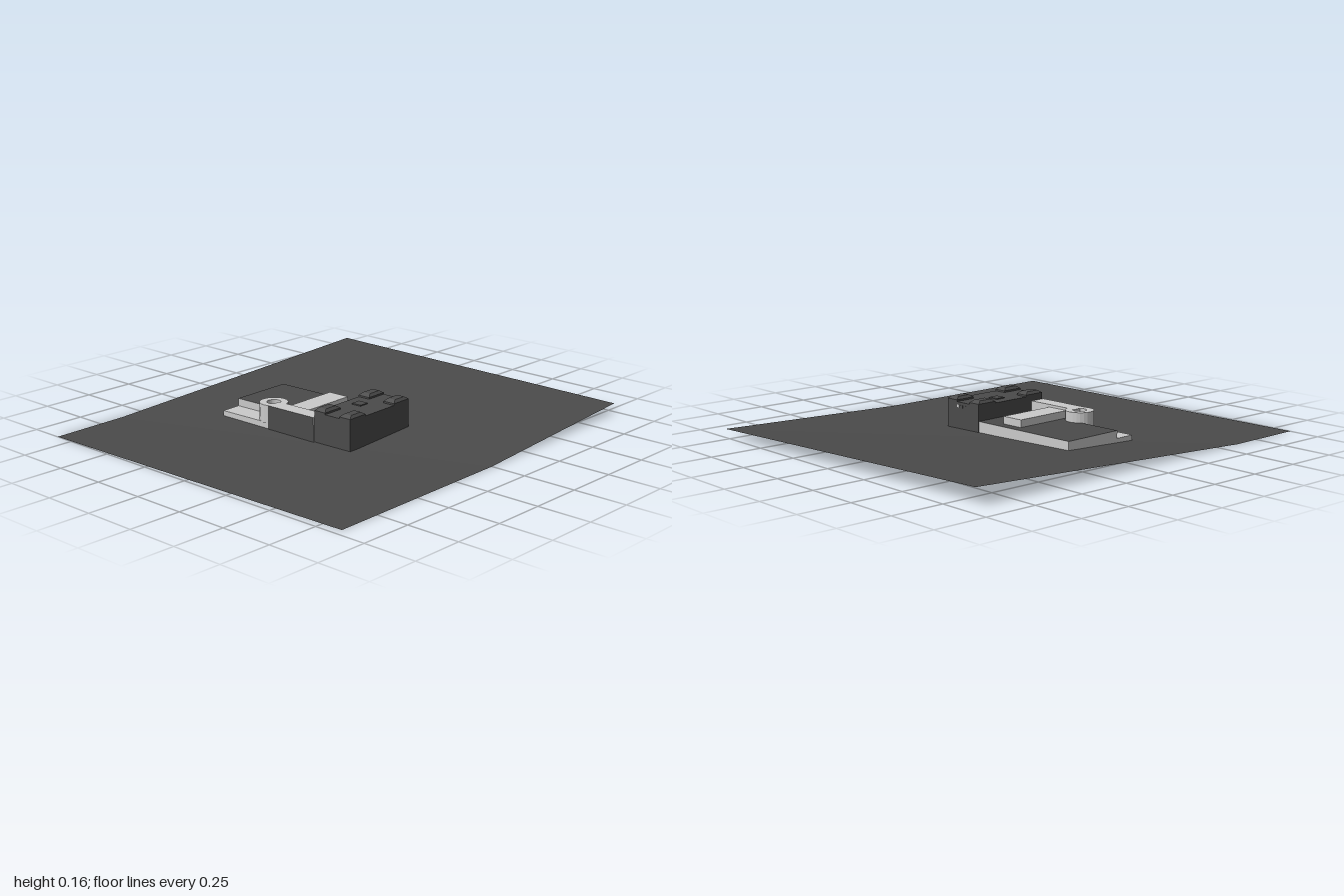
import * as THREE from 'three';

const dark = new THREE.MeshStandardMaterial({ color: 0x4b4b4b, flatShading: true, side: THREE.DoubleSide });
dark.name = 'darkGrey';
const light = new THREE.MeshStandardMaterial({ color: 0xcacaca, flatShading: true });
light.name = 'lightGrey';

// Box given by its limits; taper shrinks the top face
function block(name, [x0, x1], [y0, y1], [z0, z1], material, taper = 1) {
  const geo = new THREE.BoxGeometry(x1 - x0, y1 - y0, z1 - z0);
  const p = geo.attributes.position;
  for (let i = 0; i < p.count; i++) {
    if (p.getY(i) > 0) p.setXYZ(i, p.getX(i) * taper, p.getY(i), p.getZ(i) * taper);
  }
  geo.computeVertexNormals();
  const mesh = new THREE.Mesh(geo, material);
  mesh.name = name;
  mesh.position.set((x0 + x1) / 2, (y0 + y1) / 2, (z0 + z1) / 2);
  return mesh;
}

function disc(name, radius, y, facing, material) {
  const mesh = new THREE.Mesh(new THREE.CircleGeometry(radius, 20), material);
  mesh.name = name;
  mesh.rotation.x = -facing * Math.PI / 2;
  mesh.position.set(-0.156, y, -0.121);
  return mesh;
}

export function createModel() {
  const model = new THREE.Group();
  model.name = 'buildingOnTerrain';

  // Ground sheet: flat strip, then a slope folded up along a diagonal
  const ground = new THREE.BufferGeometry();
  ground.setAttribute('position', new THREE.Float32BufferAttribute([
    -1, 0, -0.845, -0.96, 0, 0.85, 0, 0, 0.83,
    -0.62, 0, -0.855, 1, 0.04, 0.78, 0.93, 0.075, -0.86,
  ], 3));
  ground.setIndex([0, 1, 2, 0, 2, 3, 3, 2, 4, 3, 4, 5]);
  ground.computeVertexNormals();
  const terrain = new THREE.Mesh(ground, dark);
  terrain.name = 'terrain';
  model.add(terrain);

  const building = new THREE.Group();
  building.name = 'building';
  building.position.set(-0.07, 0, -0.13);
  building.rotation.y = 0.037;
  model.add(building);

  // Material order: +x, -x, top, bottom, +z, -z
  const darkRoof = [light, light, dark, dark, light, light];
  const lightRoof = [light, light, light, dark, light, light];
  const darkLeft = [light, dark, light, dark, light, light];

  // Low wing with its lower terrace and the raised wings
  building.add(
    block('rearWing', [-0.116, 0.195], [0, 0.068], [-0.387, -0.1], darkRoof),
    block('middleWing', [-0.145, 0.195], [0, 0.068], [-0.1, 0.174], darkRoof),
    block('terrace', [-0.216, -0.116], [0, 0.032], [-0.387, -0.1], lightRoof),
    block('sideWing', [-0.219, -0.143], [0, 0.115], [-0.1, 0.174], darkLeft),
    block('crossWing', [-0.146, 0.15], [0.06, 0.103], [-0.05, 0.06], lightRoof),
  );

  // Round tower, open in the middle
  const ring = new THREE.LatheGeometry([
    [0.066, 0.03], [0.066, 0.115], [0.032, 0.115], [0.032, 0.07],
  ].map(([r, y]) => new THREE.Vector2(r, y)), 24);
  const tower = new THREE.Mesh(ring, light);
  tower.name = 'tower';
  tower.position.set(-0.156, 0, -0.121);
  building.add(tower,
    disc('towerFloor', 0.033, 0.075, 1, dark),
    disc('towerShaftBase', 0.03, -0.0005, -1, light));

  // Tall front hall with corner turrets and a roof hatch
  building.add(
    block('frontHall', [-0.211, 0.197], [0, 0.139], [0.174, 0.381], dark),
    block('roofHatch', [-0.015, 0.035], [0.139, 0.144], [0.225, 0.275], dark),
  );
  for (const x of [-0.211, 0.092]) {
    for (const z of [0.174, 0.319]) {
      building.add(
        block('turretBase', [x, x + 0.105], [0.139, 0.147], [z, z + 0.062], dark),
        block('turretCap', [x, x + 0.105], [0.147, 0.159], [z, z + 0.062], dark, 0.62),
      );
    }
  }

  // Row of small windows high on the left wall
  for (let i = 0; i < 4; i++) {
    const z = 0.302 - i * 0.024;
    building.add(block('window', [0.196, 0.199], [0.114, 0.126], [z, z + 0.014], i ? dark : light));
  }
  return model;
}
